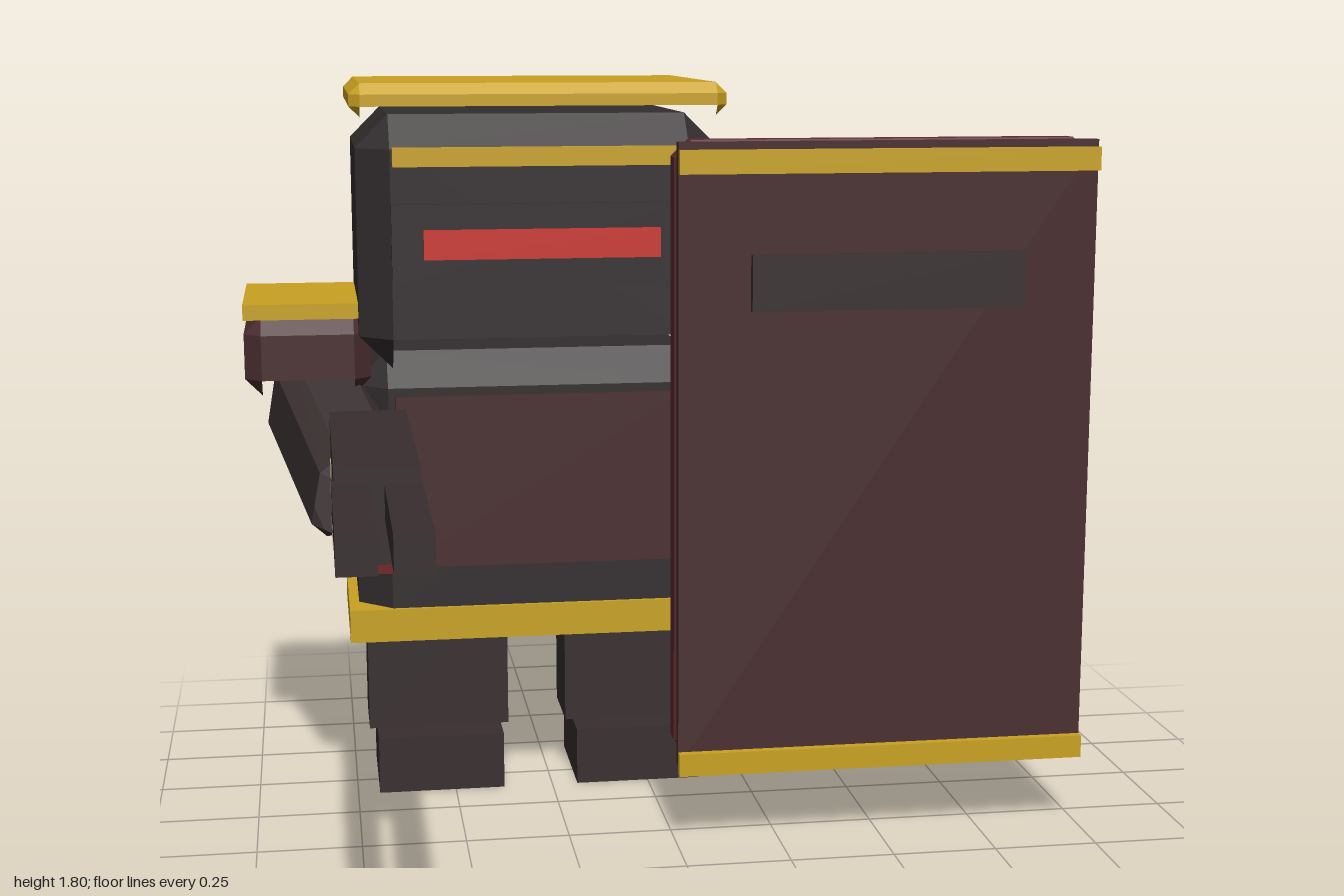
import * as THREE from 'three';
import { ConvexGeometry } from 'three/addons/geometries/ConvexGeometry.js';

function mat(name, color) {
  const m = new THREE.MeshStandardMaterial({ color, side: THREE.DoubleSide, flatShading: true });
  m.name = name;
  return m;
}

// Drop downward faces and chamfer strips, keeping the small corner triangles
function openBottom(geo) {
  const src = geo.index ? geo.toNonIndexed() : geo;
  const p = src.attributes.position;
  const out = [];
  const t = new THREE.Triangle();
  const n = new THREE.Vector3();
  for (let i = 0; i < p.count; i += 3) {
    t.setFromAttributeAndIndices(p, i, i + 1, i + 2);
    t.getNormal(n);
    if (n.y < -0.65) continue;
    for (const v of [t.a, t.b, t.c]) out.push(v.x, v.y, v.z);
  }
  const g = new THREE.BufferGeometry();
  g.setAttribute('position', new THREE.Float32BufferAttribute(out, 3));
  g.computeVertexNormals();
  return g;
}

// Box with 45 degree chamfered edges and an open underside
function chamferBox(w, h, d, c) {
  const pts = [];
  for (const sx of [-1, 1]) for (const sy of [-1, 1]) for (const sz of [-1, 1]) {
    for (let axis = 0; axis < 3; axis++) {
      const inset = [c, c, c];
      inset[axis] = 0;
      pts.push(new THREE.Vector3(
        sx * (w / 2 - inset[0]), sy * (h / 2 - inset[1]), sz * (d / 2 - inset[2])));
    }
  }
  return openBottom(new ConvexGeometry(pts));
}

export function createModel() {
  const model = new THREE.Group();
  model.name = 'shieldGuard';
  const armour = mat('charcoal armour', 0x322c2d);
  const dark = mat('dark grey', 0x382e2f);
  const brown = mat('dark brown', 0x492d2f);
  const maroon = mat('shield maroon', 0x5a2b2d);
  const gold = mat('gold', 0xc9a222);
  const red = mat('visor red', 0xcc352f);
  const darkRed = mat('magazine red', 0x6e2224);
  const skin = mat('skin', 0xcfa580);

  // Each box is given by its [min, max] range on x, y and z
  function box(name, material, x, y, z, { chamfer = 0, open = false } = {}) {
    const w = x[1] - x[0], h = y[1] - y[0], d = z[1] - z[0];
    let geo;
    if (chamfer) geo = chamferBox(w, h, d, chamfer);
    else {
      geo = new THREE.BoxGeometry(w, h, d);
      if (open) geo = openBottom(geo);
    }
    const mesh = new THREE.Mesh(geo, material);
    mesh.name = name;
    mesh.position.set((x[0] + x[1]) / 2, (y[0] + y[1]) / 2, (z[0] + z[1]) / 2);
    model.add(mesh);
    return mesh;
  }

  // Head, visor and flat cap
  box('head', armour, [-0.72, 0.16], [1.115, 1.73], [-0.95, -0.22], { chamfer: 0.08 });
  box('visorPanel', armour, [-0.64, 0.08], [1.325, 1.52], [-0.22, -0.2]);
  box('visorSlit', red, [-0.565, 0.005], [1.39, 1.46], [-0.2, -0.178]);
  box('browBand', gold, [-0.635, 0.075], [1.61, 1.655], [-0.212, -0.186]);
  box('cap', gold, [-0.733, 0.173], [1.725, 1.805], [-0.97, -0.207], { chamfer: 0.026 });

  // Torso
  box('torso', armour, [-0.735, 0.175], [0.4, 1.14], [-0.825, -0.347], { chamfer: 0.083 });
  box('chestPanel', brown, [-0.635, 0.075], [0.61, 1.035], [-0.348, -0.31]);
  box('belt', gold, [-0.76, 0.2], [0.415, 0.498], [-0.84, -0.335], { open: true });

  // Paired parts, mirrored about the body's own centre line
  const cx = -0.28;
  for (const [side, s] of [['left', 1], ['right', -1]]) {
    const span = (a, b) => (s > 0 ? [cx + a, cx + b] : [cx - b, cx - a]);
    box(side + 'Leg', dark, span(0.075, 0.435), [0.145, 0.49], [-0.69, -0.48], { open: true });
    box(side + 'Boot', dark, span(0.095, 0.415), [0, 0.145], [-0.7, -0.388], { open: true });
    box(side + 'Shoulder', brown, span(0.41, 0.72), [1.04, 1.235], [-0.825, -0.355], { chamfer: 0.042 });
    box(side + 'ShoulderPlate', gold, span(0.41, 0.72), [1.232, 1.27], [-0.83, -0.353]);
  }

  // Both arms reach forward, down and towards the left
  for (const [side, x] of [['left', 0.3], ['right', -0.845]]) {
    const start = new THREE.Vector3(x, 1.04, -0.57);
    const end = new THREE.Vector3(x + 0.125, 0.8, -0.165);
    const dir = start.clone().sub(end);
    const arm = new THREE.Mesh(chamferBox(0.22, dir.length(), 0.25, 0.045), dark);
    arm.name = side + 'Arm';
    // Aim local +y back at the shoulder, keeping local x level
    const yAxis = dir.clone().normalize();
    const xAxis = new THREE.Vector3().crossVectors(yAxis, new THREE.Vector3(0, 1, 0)).normalize();
    const zAxis = new THREE.Vector3().crossVectors(xAxis, yAxis);
    arm.quaternion.setFromRotationMatrix(new THREE.Matrix4().makeBasis(xAxis, yAxis, zAxis));
    arm.position.copy(start).add(end).multiplyScalar(0.5);
    model.add(arm);
  }
  box('leftHand', skin, [0.333, 0.528], [0.7, 0.925], [-0.262, -0.062]);
  box('rightHand', skin, [-0.8, -0.605], [0.73, 0.925], [-0.262, -0.062]);

  // Twin-barrelled weapon
  box('weaponBody', dark, [-0.798, -0.612], [0.805, 1.015], [-0.28, 0.472]);
  box('weaponMagazine', darkRed, [-0.773, -0.632], [0.738, 0.806], [0.02, 0.278]);
  for (const x of [-0.762, -0.65]) {
    box('weaponBarrel', dark, [x - 0.041, x + 0.041], [0.9, 0.982], [0.4, 0.968]);
  }

  // Shield with front plate, gold rims and view slot
  box('shieldBack', maroon, [0.003, 1], [0.2, 1.68], [-0.063, 0.07], { chamfer: 0.04 });
  box('shieldPlate', brown, [0.003, 1], [0.195, 1.678], [0.07, 0.099]);
  box('shieldSlot', dark, [0.173, 0.825], [1.288, 1.42], [0.099, 0.12]);
  for (const y of [0.175, 1.606]) {
    box('shieldRim', gold, [0.003, 1], [y, y + 0.055], [0.099, 0.12]);
  }

  return model;
}
